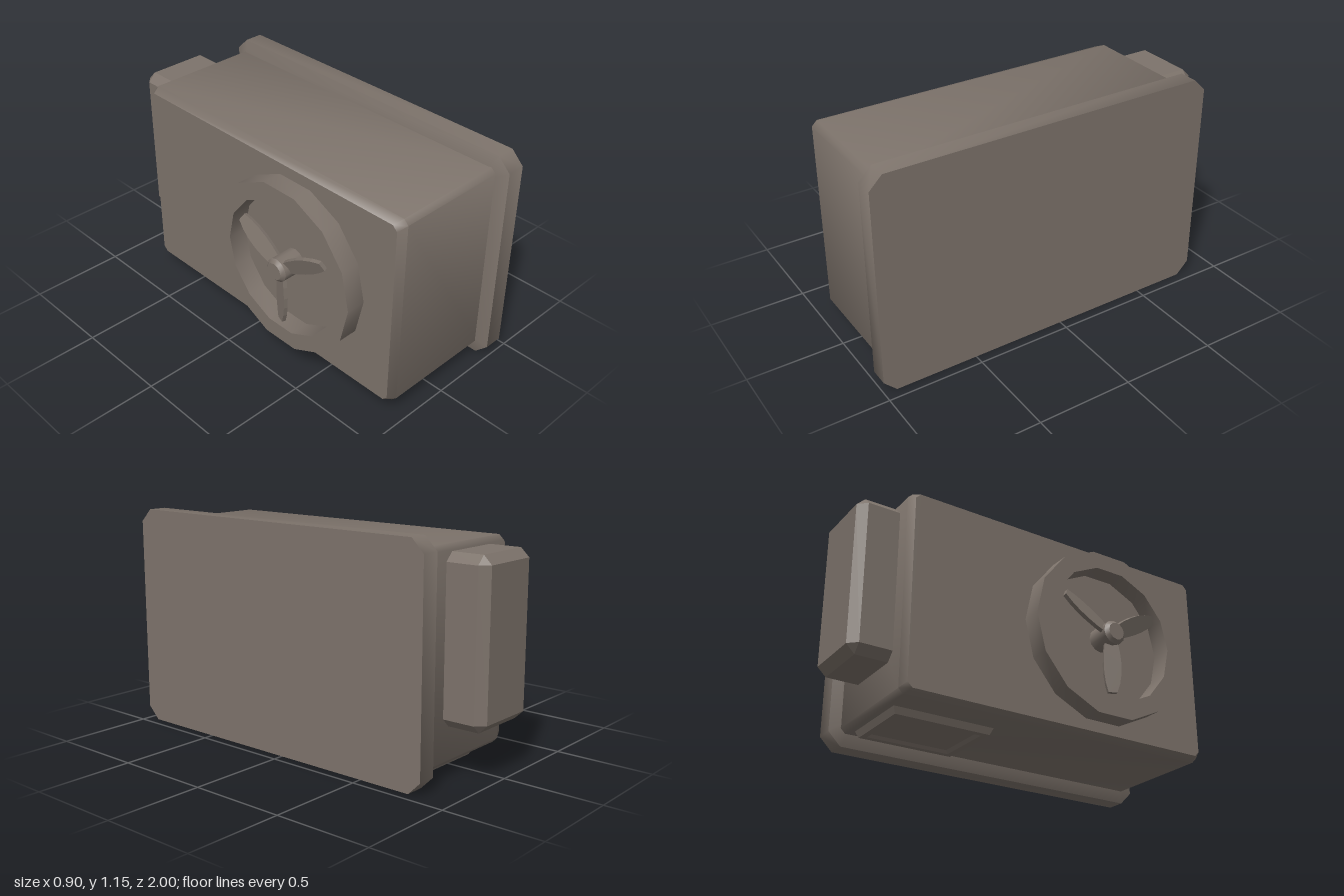
import * as THREE from 'three';
import { toCreasedNormals } from 'three/addons/utils/BufferGeometryUtils.js';

const casing = new THREE.MeshStandardMaterial({ color: 0x7d736b });
casing.name = 'warm grey casing';

// Rectangle u0..u1, v0..v1 with corners cut by c, counter-clockwise
function cutRect(u0, u1, v0, v1, c) {
  return [
    [u0 + c, v0], [u1 - c, v0], [u1, v0 + c], [u1, v1 - c],
    [u1 - c, v1], [u0 + c, v1], [u0, v1 - c], [u0, v0 + c],
  ];
}

// Skins sections [w, u0, u1, v0, v1, cut] along an axis and caps both ends
const axes = {
  x: (u, v, w) => [w, u, v],
  y: (u, v, w) => [v, w, u],
  z: (u, v, w) => [u, v, w],
};
function loft(axis, sections, crease) {
  const position = [];
  const index = [];
  const last = (sections.length - 1) * 8;
  sections.forEach(([w, ...rect], s) => {
    for (const [u, v] of cutRect(...rect)) position.push(...axes[axis](u, v, w));
    if (s === 0) return;
    for (let i = 0; i < 8; i++) {
      const j = (i + 1) % 8;
      const a = (s - 1) * 8;
      const b = s * 8;
      index.push(a + i, a + j, b + j, a + i, b + j, b + i);
    }
  });
  for (let i = 1; i < 7; i++) {
    index.push(0, i + 1, i);
    index.push(last, last + i, last + i + 1);
  }
  const geometry = new THREE.BufferGeometry();
  geometry.setAttribute('position', new THREE.Float32BufferAttribute(position, 3));
  geometry.setIndex(index);
  return toCreasedNormals(geometry, crease);
}

// Turned part whose axis points out of the fan side (-x)
function turned(profile, sides, crease) {
  const points = profile.map(([r, h]) => new THREE.Vector2(r, h));
  const geometry = new THREE.LatheGeometry(points, sides).rotateZ(Math.PI / 2);
  return toCreasedNormals(geometry, crease);
}

export function createModel() {
  const model = new THREE.Group();
  model.name = 'fanUnit';
  const add = (name, geometry, parent = model) => {
    const mesh = new THREE.Mesh(geometry, casing);
    mesh.name = name;
    parent.add(mesh);
    return mesh;
  };

  // Main housing, with a shallow bevel around the fan side
  add('housing', loft('x', [
    [-0.312, 0.08, 1.075, -0.77, 0.92, 0.025],
    [-0.265, 0.06, 1.095, -0.79, 0.94, 0.025],
    [0.34, 0.06, 1.095, -0.79, 0.94, 0.025],
  ], 0.9));

  // Wide mounting plate flaring out from the housing
  add('backPlate', loft('x', [
    [0.325, 0.06, 1.095, -0.79, 0.94, 0.04],
    [0.35, 0, 1.153, -0.843, 1, 0.066],
    [0.448, 0, 1.153, -0.843, 1, 0.066],
  ], 0.9));

  // Bevelled box on the rear end
  add('rearBox', loft('z', [
    [-1, -0.148, 0.163, 0.293, 1.02, 0],
    [-0.956, -0.19, 0.205, 0.25, 1.063, 0.043],
    [-0.78, -0.19, 0.205, 0.25, 1.063, 0.043],
  ], 0.1));

  // Tapered frame with a recessed panel on the underside
  add('undersideVent', loft('y', [
    [0.042, -0.68, -0.27, -0.075, 0.22, 0],
    [0.027, -0.695, -0.255, -0.085, 0.23, 0],
    [0.027, -0.725, -0.225, -0.115, 0.26, 0],
    [0.065, -0.742, -0.208, -0.13, 0.275, 0],
  ], 0.1));

  // Fan: fourteen-sided shroud, hub and three pitched blades
  const fan = new THREE.Group();
  fan.name = 'fan';
  fan.position.set(-0.31, 0.577, 0.3);
  model.add(fan);
  add('shroud', turned([[0.45, 0], [0.45, 0.104], [0.36, 0.104], [0.36, 0]], 14, 0.5), fan);
  add('hub', turned([[0.063, 0], [0.063, 0.122], [0.045, 0.14], [0, 0.14]], 12, 0.6), fan);

  const leaf = new THREE.Shape();
  leaf.moveTo(-0.03, 0.03);
  leaf.quadraticCurveTo(-0.07, 0.2, -0.02, 0.315);
  leaf.lineTo(0.025, 0.315);
  leaf.quadraticCurveTo(0.06, 0.2, 0.03, 0.03);
  leaf.closePath();
  for (let i = 0; i < 3; i++) {
    const blade = new THREE.ExtrudeGeometry(leaf, { depth: 0.02, bevelEnabled: false, curveSegments: 5 });
    blade.translate(0, 0, -0.01).rotateY(0.35).rotateY(-Math.PI / 2).translate(-0.09, 0, 0);
    blade.rotateX(Math.PI + (i * Math.PI * 2) / 3);
    add('blade' + (i + 1), blade, fan);
  }
  return model;
}
